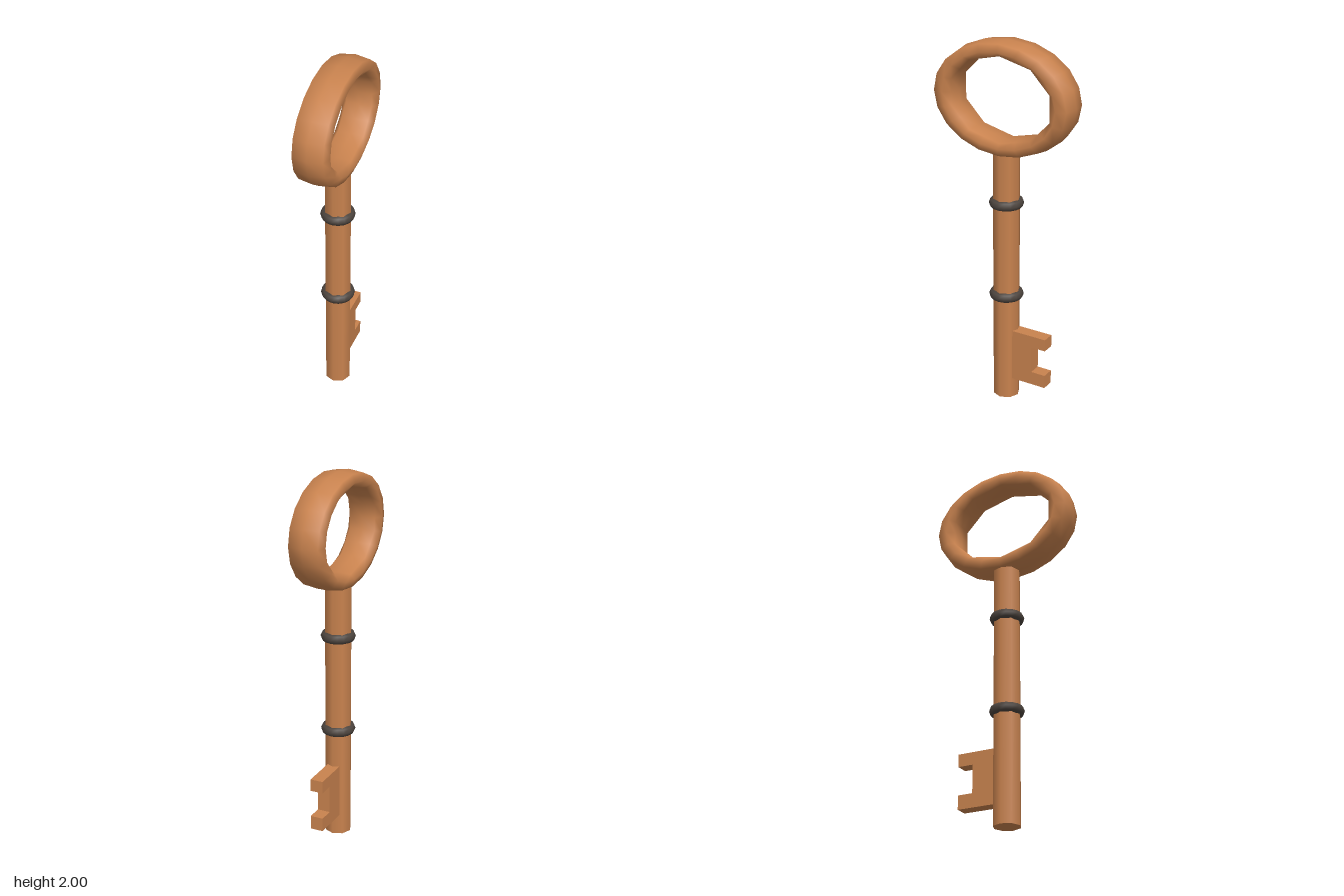
import * as THREE from 'three';
import { mergeVertices } from 'three/addons/utils/BufferGeometryUtils.js';

const copper = new THREE.MeshStandardMaterial({ color: 0xc8824e });
const iron = new THREE.MeshStandardMaterial({ color: 0x4c443e });

function add(group, name, geometry, material) {
  const mesh = new THREE.Mesh(geometry, material);
  mesh.name = name;
  group.add(mesh);
  return mesh;
}

// Oval handle: a torus whose tube is reshaped to a wide, flattened section
function bowGeometry() {
  const segments = 20;
  // [fraction of the outer radius, half width], from outer rim round to inner rim
  const half = [[1, 0], [0.965, 0.08], [0.83, 0.095], [0.755, 0.07], [0.742, 0]];
  const geometry = new THREE.TorusGeometry(1, 0.2, 8, segments);
  const pos = geometry.attributes.position;
  for (let j = 0, v = 0; j <= 8; j++) {
    const [fraction, width] = half[j <= 4 ? j : 8 - j];
    const side = j <= 4 ? 1 : -1;
    for (let i = 0; i <= segments; i++, v++) {
      const a = ((i % segments) / segments) * Math.PI * 2;
      // the inner rim has only ten corners, so every other point lies on a chord
      const r = fraction * (j >= 3 && j <= 5 && i % 2 ? Math.cos(Math.PI / 10) : 1);
      pos.setXYZ(v, side * width, 0.3 * r * Math.cos(a), 0.4 * r * Math.sin(a));
    }
  }
  geometry.deleteAttribute('uv');
  geometry.deleteAttribute('normal');
  const merged = mergeVertices(geometry);
  merged.computeVertexNormals();
  return merged;
}

// Key bit: a plate with two teeth, drawn outward from the shaft
function bitGeometry() {
  const thickness = 0.07;
  const outline = [[0.03, 0.115], [0.26, 0.115], [0.26, 0.19], [0.178, 0.19],
    [0.178, 0.34], [0.26, 0.34], [0.26, 0.407], [0.03, 0.407]];
  const shape = new THREE.Shape(outline.map(([x, y]) => new THREE.Vector2(x, y)));
  const geometry = new THREE.ExtrudeGeometry(shape, { depth: thickness, bevelEnabled: false });
  geometry.translate(0, 0, -thickness / 2);
  geometry.rotateY(Math.PI / 2);
  return geometry;
}

export function createModel() {
  const key = new THREE.Group();
  key.name = 'key';

  add(key, 'bow', bowGeometry(), copper).position.y = 1.7;

  add(key, 'shaft', new THREE.CylinderGeometry(0.072, 0.072, 1.43, 8), copper).position.y = 0.715;

  // Two dark collars round the shaft
  for (const [name, y] of [['upperCollar', 1.133], ['lowerCollar', 0.608]]) {
    const collar = add(key, name, new THREE.TorusGeometry(0.064, 0.028, 8, 16), iron);
    collar.rotation.x = Math.PI / 2;
    collar.position.y = y;
  }

  add(key, 'bit', bitGeometry(), copper);
  return key;
}
